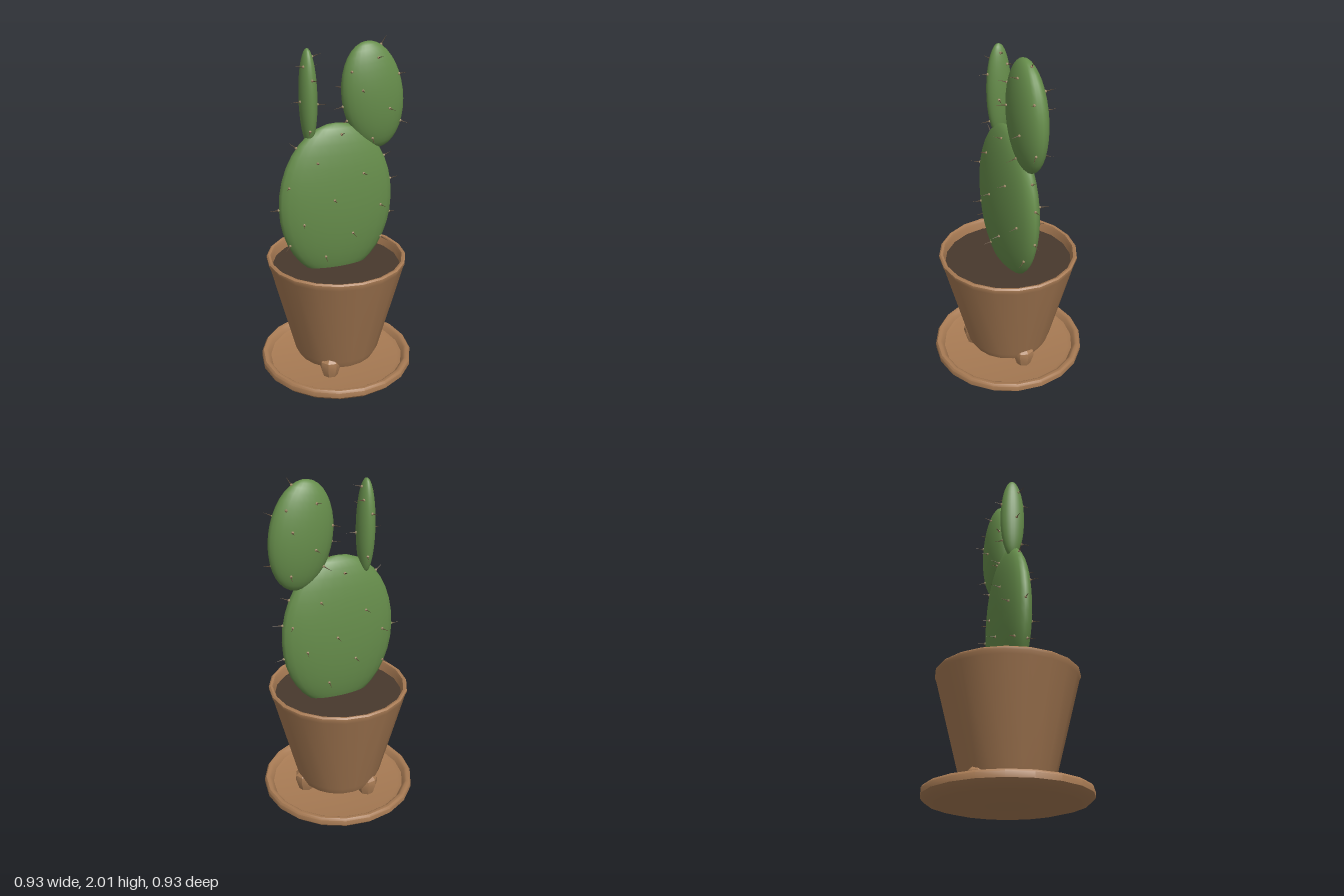
import * as THREE from 'three';
import { toCreasedNormals } from 'three/addons/utils/BufferGeometryUtils.js';

const mat = (color) => new THREE.MeshStandardMaterial({ color });
const clay = mat(0xa87b54), green = mat(0x668d4b), earth = mat(0x48392d);
const areoleMat = mat(0xa08c68), spineMat = mat(0x66523d);

function mesh(name, geometry, material) {
  const m = new THREE.Mesh(geometry, material);
  m.name = name;
  return m;
}

// Turned part from [radius, height] pairs, running bottom centre -> outside -> inside
function turned(name, profile, sides, crease = 0.7) {
  const geo = new THREE.LatheGeometry(profile.map(([r, y]) => new THREE.Vector2(r, y)), sides);
  return mesh(name, toCreasedNormals(geo, crease), clay);
}

const spineGeo = new THREE.ConeGeometry(0.0035, 0.058, 5).translate(0, 0.029, 0);
const areoleGeo = new THREE.SphereGeometry(0.0085, 6, 4);

// Flattened pad with spines; dots are [x, y] positions as seen from the front
function pad(name, center, radii, tilt, dots) {
  const group = new THREE.Group();
  group.name = name;
  group.position.set(...center);
  group.rotation.z = tilt;
  const body = mesh(name + 'Body', new THREE.SphereGeometry(1, 24, 18), green);
  body.scale.set(...radii);
  group.add(body);

  const [rx, ry, rz] = radii;
  const addSpine = (u, v, side) => {
    const len = Math.max(1, Math.hypot(u, v));
    u /= len;
    v /= len;
    const w = side * Math.sqrt(Math.max(0, 1 - u * u - v * v));
    const spine = new THREE.Group();
    spine.name = 'spine';
    spine.position.set(u * rx, v * ry, w * rz);
    const normal = new THREE.Vector3(u / rx, v / ry, w / rz).normalize();
    spine.quaternion.setFromUnitVectors(new THREE.Vector3(0, 1, 0), normal);
    spine.add(mesh('areole', areoleGeo, areoleMat), mesh('spineNeedle', spineGeo, spineMat));
    group.add(spine);
  };

  for (const [x, y] of dots) {
    const p = new THREE.Vector2(x - center[0], y - center[1]).rotateAround(new THREE.Vector2(), -tilt);
    const u = p.x / rx, v = p.y / ry;
    addSpine(u, v, 1);
    // Matching spine on the back, mirrored sideways
    if (Math.hypot(u, v) < 0.95) addSpine(-u, v + (v > 0 ? -0.07 : 0.07), -1);
  }
  return group;
}

export function createModel() {
  const model = new THREE.Group();
  model.name = 'pottedCactus';

  // Saucer with a raised, rounded lip
  model.add(turned('saucer', [
    [0, 0], [0.365, 0], [0.44, 0.02], [0.465, 0.045], [0.465, 0.075], [0.455, 0.088],
    [0.438, 0.088], [0.425, 0.078], [0.41, 0.052], [0.385, 0.045], [0, 0.045],
  ], 20));

  // Tapered pot with a thin rim, open down to the soil
  model.add(turned('pot', [
    [0, 0.1], [0.238, 0.1], [0.262, 0.15], [0.405, 0.705], [0.414, 0.725], [0.414, 0.738],
    [0.405, 0.746], [0.392, 0.742], [0.384, 0.725], [0.375, 0.64],
  ], 20));

  const soil = mesh('soil', new THREE.CylinderGeometry(0.38, 0.365, 0.04, 20), earth);
  soil.position.y = 0.665;
  model.add(soil);

  // Three stubby feet around the base of the pot
  for (let i = 0; i < 3; i++) {
    const angle = (i * Math.PI * 2) / 3;
    const foot = turned('potFoot', [
      [0, 0.045], [0.046, 0.045], [0.066, 0.115], [0.062, 0.145], [0.034, 0.176], [0, 0.182],
    ], 8, 0.5);
    foot.position.set(0.22 * Math.cos(angle), 0, 0.22 * Math.sin(angle));
    foot.rotation.y = -angle;
    model.add(foot);
  }

  // Cactus pads
  model.add(pad('mainPad', [0, 1.08, 0], [0.346, 0.468, 0.1], 0, [
    [0.015, 1.49], [-0.135, 1.345], [0.135, 1.26], [-0.045, 1.125], [-0.295, 1.21], [0.25, 1.05],
    [-0.22, 0.99], [0.07, 0.905], [0.27, 0.83], [-0.09, 0.77], [-0.29, 0.85], [-0.24, 1.43],
    [0.3, 1.33], [0.34, 1.18], [-0.346, 1.07], [0.338, 0.97],
  ]));
  model.add(pad('leftPad', [0.218, 1.682, -0.003], [0.183, 0.305, 0.086], 0.15, [
    [0.225, 1.9], [0.13, 1.73], [0.29, 1.62], [0.2, 1.45], [0.36, 1.8], [0.065, 1.55],
    [0.38, 1.53], [0.035, 1.63], [0.075, 1.83], [0.265, 1.975],
  ]));
  model.add(pad('rightPad', [-0.157, 1.695, -0.018], [0.049, 0.268, 0.073], 0.01, [
    [-0.153, 1.8], [-0.165, 1.52], [-0.13, 1.93], [-0.205, 1.68], [-0.11, 1.66], [-0.19, 1.87],
  ]));
  return model;
}
